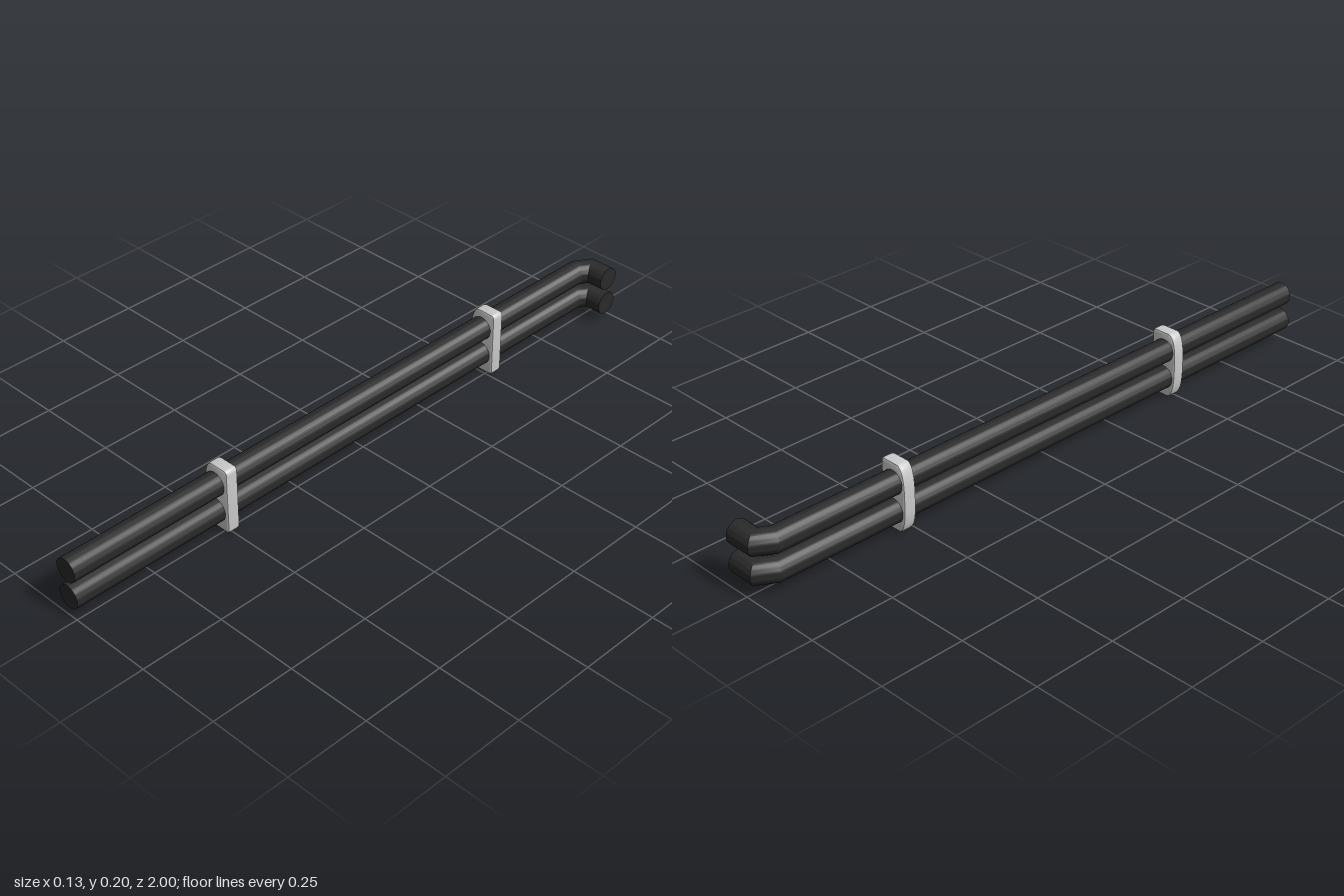
import * as THREE from 'three';
import { toCreasedNormals } from 'three/addons/utils/BufferGeometryUtils.js';

const RADIUS = 0.035, SIDES = 32;

// Closed round pipe along a path of [x, z] points, with mitred bends
function pipeGeometry(path) {
  const pos = [], index = [];
  const dir = (a, b) => new THREE.Vector2(b[0] - a[0], b[1] - a[1]).normalize();
  path.forEach((p, i) => {
    const before = i > 0 ? dir(path[i - 1], p) : dir(p, path[1]);
    const after = i < path.length - 1 ? dir(p, path[i + 1]) : before;
    const d = before.clone().add(after).normalize();
    const stretch = RADIUS / d.dot(before);
    for (let j = 0; j < SIDES; j++) {
      const a = (j / SIDES) * Math.PI * 2, c = Math.cos(a) * stretch;
      pos.push(p[0] + d.y * c, RADIUS * Math.sin(a), p[1] - d.x * c);
    }
  });
  const last = path.length - 1, startCentre = path.length * SIDES;
  pos.push(path[0][0], 0, path[0][1], path[last][0], 0, path[last][1]);
  for (let j = 0; j < SIDES; j++) {
    const k = (j + 1) % SIDES;
    for (let i = 0; i < last; i++) {
      const a = i * SIDES, b = a + SIDES;
      index.push(a + j, a + k, b + k, a + j, b + k, b + j);
    }
    index.push(startCentre, k, j, startCentre + 1, last * SIDES + j, last * SIDES + k);
  }
  const g = new THREE.BufferGeometry();
  g.setAttribute('position', new THREE.Float32BufferAttribute(pos, 3));
  g.setIndex(index);
  return toCreasedNormals(g, 0.5);
}

// Clamp plate: flat on its left, bowed on its right, with bevelled edges
function clampGeometry() {
  const bevel = 0.006, depth = 0.024;
  const l = -0.067 + bevel, r = 0.02 - bevel, h = 0.1 - bevel;
  const s = new THREE.Shape();
  s.moveTo(r, -h + 0.006);
  s.lineTo(r, h - 0.006);
  s.quadraticCurveTo(r, h, r - 0.005, h);
  s.lineTo(l + 0.022, h);
  s.bezierCurveTo(l + 0.008, h, l, h - 0.035, l, 0.02);
  s.lineTo(l, -0.02);
  s.bezierCurveTo(l, -h + 0.035, l + 0.008, -h, l + 0.022, -h);
  s.lineTo(r - 0.005, -h);
  s.quadraticCurveTo(r, -h, r, -h + 0.006);
  const g = new THREE.ExtrudeGeometry(s, {
    depth, bevelEnabled: true, bevelSize: bevel, bevelThickness: 0.008, bevelSegments: 2, curveSegments: 8,
  });
  g.translate(0, 0, -depth / 2);
  return toCreasedNormals(g, 0.6);
}

export function createModel() {
  const group = new THREE.Group();
  const grey = new THREE.MeshStandardMaterial({ color: 0xcccccc });
  const black = new THREE.MeshStandardMaterial({ color: 0x2a2a2a });

  // Two stacked pipes, bent towards +x at the back
  const pipe = pipeGeometry([[-0.025, 1], [-0.025, -0.925], [0, -0.965], [0.067, -0.965]]);
  [['lowerPipe', 0.06], ['upperPipe', 0.144]].forEach(([name, y]) => {
    const mesh = new THREE.Mesh(pipe, black);
    mesh.name = name;
    mesh.position.y = y;
    group.add(mesh);
  });

  // Clamps holding the pipes together
  const clamp = clampGeometry();
  [['frontClamp', 0.495], ['backClamp', -0.525]].forEach(([name, z]) => {
    const mesh = new THREE.Mesh(clamp, grey);
    mesh.name = name;
    mesh.position.set(0, 0.1, z);
    group.add(mesh);
  });
  return group;
}
